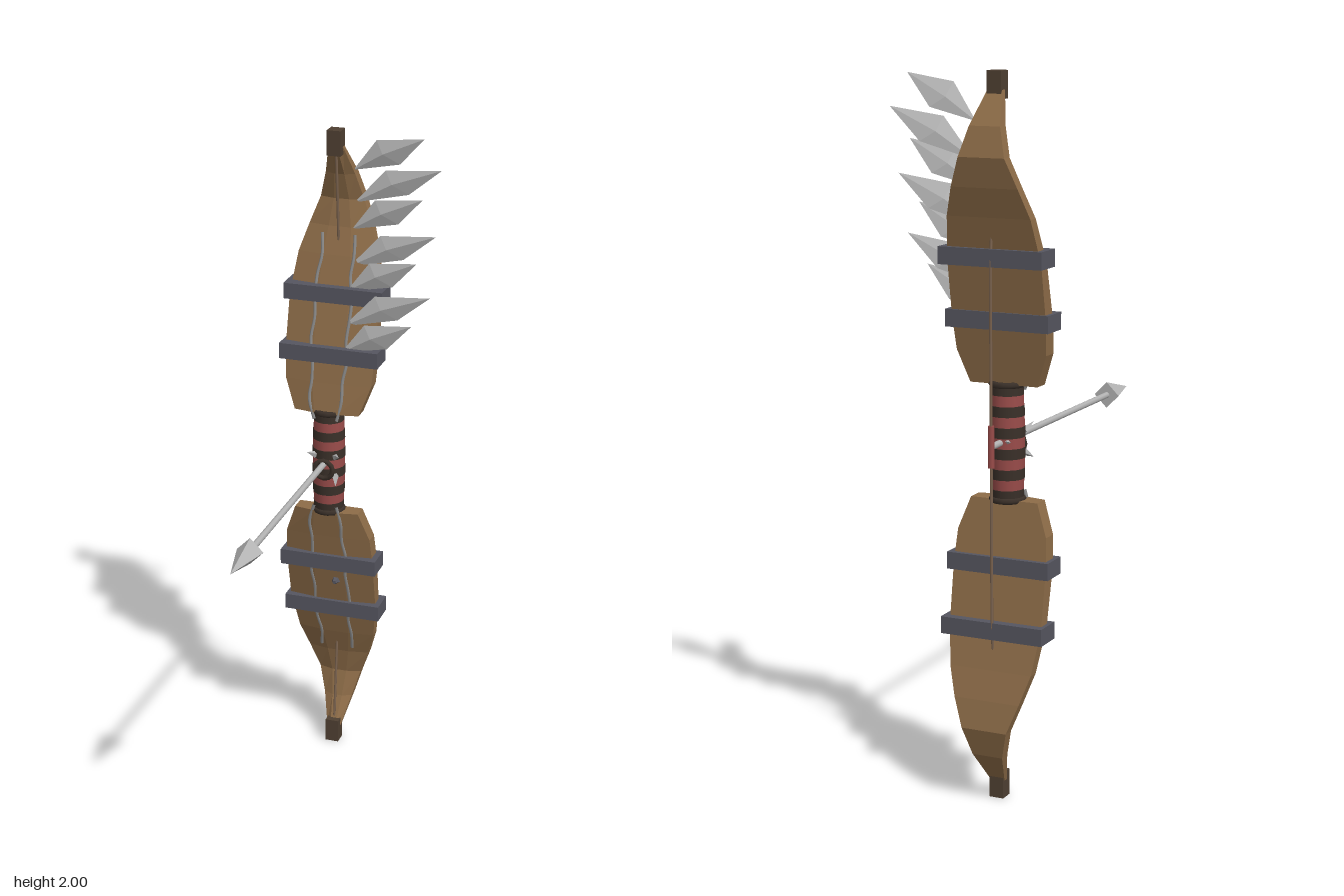
import * as THREE from 'three';
import { ConvexGeometry } from 'three/addons/geometries/ConvexGeometry.js';

const CX = -0.085; // centre line of the bow
const mat = (name, color) => {
  const m = new THREE.MeshStandardMaterial({ color });
  m.name = name;
  return m;
};

// Limb stations: distance from the grip centre, half width, front z, back z
const STATIONS = [
  [0.16, 0.1, -0.305, -0.365], [0.25, 0.133, -0.322, -0.38], [0.34, 0.139, -0.337, -0.395],
  [0.5, 0.138, -0.375, -0.423], [0.62, 0.122, -0.41, -0.455], [0.7, 0.097, -0.437, -0.48],
  [0.78, 0.067, -0.452, -0.498], [0.86, 0.045, -0.43, -0.475], [0.95, 0.022, -0.385, -0.412],
];

// Front surface z at distance d
function frontZ(d) {
  let i = 0;
  while (i < STATIONS.length - 2 && d > STATIONS[i + 1][0]) i++;
  const a = STATIONS[i], b = STATIONS[i + 1];
  return THREE.MathUtils.lerp(a[2], b[2], (d - a[0]) / (b[0] - a[0]));
}

// Faceted limb from six-sided cross-sections; s = 1 upper, -1 lower
function limbGeometry(s) {
  const rows = STATIONS.map(([d, w, f, b]) => [
    [-w, f - 0.012], [-w * 0.35, f], [w * 0.35, f], [w, f - 0.012], [w, b], [-w, b],
  ].map(([x, z]) => [CX + x, 1 + s * d, z]));
  if (s < 0) rows.reverse();
  const pos = [];
  const tri = (...p) => p.forEach((v) => pos.push(...v));
  for (let j = 0; j < rows.length - 1; j++) {
    for (let i = 0; i < 6; i++) {
      const k = (i + 1) % 6;
      tri(rows[j][i], rows[j][k], rows[j + 1][k]);
      tri(rows[j][i], rows[j + 1][k], rows[j + 1][i]);
    }
  }
  const lo = rows[0], hi = rows[rows.length - 1];
  for (let i = 1; i < 5; i++) {
    tri(hi[0], hi[i], hi[i + 1]);
    tri(lo[0], lo[i + 1], lo[i]);
  }
  const g = new THREE.BufferGeometry();
  g.setAttribute('position', new THREE.Float32BufferAttribute(pos, 3));
  g.computeVertexNormals();
  return g;
}

// Cylinder or cone between two points
function rod(a, b, ra, rb, sides) {
  const A = new THREE.Vector3(...a), B = new THREE.Vector3(...b);
  const dir = B.clone().sub(A);
  let g = new THREE.CylinderGeometry(rb, ra, dir.length(), sides);
  if (sides < 6) {
    g = g.toNonIndexed();
    g.computeVertexNormals();
  }
  g.applyQuaternion(new THREE.Quaternion().setFromUnitVectors(new THREE.Vector3(0, 1, 0), dir.normalize()));
  const c = A.add(B).multiplyScalar(0.5);
  return g.translate(c.x, c.y, c.z);
}

export function createModel() {
  const root = new THREE.Group();
  root.name = 'bowAndArrow';
  const wood = mat('wood', 0x8d6c48);
  const darkWood = mat('darkWood', 0x4f4032);
  const iron = mat('iron', 0x565660);
  const red = mat('redWrap', 0x9a4c4a);
  const leather = mat('darkLeather', 0x3a3029);
  const steel = mat('steel', 0xb4b4b4);
  const feather = mat('paleBlade', 0xcacaca);
  const cord = mat('cord', 0x7c6450);
  const wire = mat('wire', 0x8c8c8c);

  const add = (name, geometry, material, x = 0, y = 0, z = 0) => {
    const m = new THREE.Mesh(geometry, material);
    m.name = name;
    m.position.set(x, y, z);
    root.add(m);
    return m;
  };

  for (const s of [1, -1]) {
    const side = s > 0 ? 'upper' : 'lower';
    add(side + 'Limb', limbGeometry(s), wood);
    add(side + 'Tip', new THREE.BoxGeometry(0.042, 0.074, 0.042), darkWood, CX, 1 + s * 0.963, -0.398);
    // Iron clamps
    for (const [d, z] of [[0.338, -0.362], [0.512, -0.403]]) {
      add(side + 'Clamp', new THREE.BoxGeometry(0.304, 0.048, 0.086), iron, CX + 0.003, 1 + s * d, z);
    }
    // Crooked wires running down the limb face
    for (const k of [-1, 1]) {
      const pts = [];
      for (let i = 0; i <= 9; i++) {
        const d = 0.14 + i * 0.06;
        const off = i === 0 ? 0.035 : 0.056 - 0.008 * Math.abs(i - 5) / 4 + 0.005 * Math.sin(i * 2.3 + k);
        pts.push(new THREE.Vector3(CX + k * off, 1 + s * d, frontZ(Math.max(d, 0.16)) - 0.002));
      }
      add(side + 'Wire', new THREE.TubeGeometry(new THREE.CatmullRomCurve3(pts), 36, 0.005, 5), wire);
    }
    // String ends and collar of the grip
    add(side + 'StringEnd', rod([CX, 1 + s * 0.95, -0.4], [CX, 1 + s * 0.5, -0.443], 0.004, 0.004, 6), cord);
    const collar = new THREE.TorusGeometry(0.043, 0.009, 6, 14).rotateX(Math.PI / 2);
    add(side + 'Collar', collar, leather, CX, 1 + s * 0.16, -0.342);
  }

  // Striped grip, slightly swollen in the middle
  const stripes = 11, step = 0.32 / stripes;
  const radius = (y) => 0.049 - 0.2 * (y - 1) * (y - 1);
  for (let i = 0; i < stripes; i++) {
    const y0 = 0.84 + i * step;
    const isRed = i % 2 === 1;
    const bump = isRed ? 0 : 0.001;
    const g = new THREE.CylinderGeometry(radius(y0 + step) + bump, radius(y0) + bump, step, 14);
    add(isRed ? 'gripRedStripe' : 'gripDarkStripe', g, isRed ? red : leather, CX, y0 + step / 2, -0.342);
  }

  // Bowstring and its nocking wrap
  add('bowstring', rod([CX, 0.5, -0.443], [CX, 1.5, -0.443], 0.004, 0.004, 6), cord);
  add('nockingWrap', new THREE.CylinderGeometry(0.009, 0.009, 0.115, 8), red, CX, 1.003, -0.443);

  // Arrow
  const ay = 1.003;
  add('arrowShaft', rod([CX, ay, -0.44], [CX, ay, 0.36], 0.0095, 0.0095, 8), steel);
  add('arrowHead', rod([CX, ay, 0.345], [CX, ay, 0.5], 0.039, 0, 4), steel);

  // Arrow rest with small claws
  add('arrowRest', new THREE.TorusGeometry(0.028, 0.008, 6, 12), leather, CX, 0.985, -0.291);
  for (const k of [-1, 1]) {
    for (const v of [-1, 1]) {
      add('claw', rod([CX + k * 0.032, 0.995 + v * 0.03, -0.305], [CX + k * 0.045, 0.995 + v * 0.05, -0.268], 0.011, 0, 4), steel);
    }
    add('rearSpike', rod([CX + k * 0.02, ay, -0.37], [CX + k * 0.026, ay + 0.012, -0.412], 0.01, 0, 4), steel);
  }
  add('stud', rod([CX + 0.02, 0.59, -0.355], [CX + 0.02, 0.59, -0.335], 0.014, 0.006, 5), iron);

  // Row of pale blades fanning out from the upper limb
  const tips = [[1.99, -0.405], [1.9, -0.415], [1.815, -0.395], [1.718, -0.37], [1.64, -0.345], [1.55, -0.32], [1.465, -0.3]];
  tips.forEach(([y, z], i) => {
    const long = i % 2;
    const tx = long ? 0.226 : 0.177;
    const by = y - (long ? 0.13 : 0.12);
    const mx = long ? 0.087 : 0.062;
    const pts = [
      [-0.048, by, z - 0.045], [tx, y, z],
      [mx - 0.034, y - 0.02, z - 0.022], [mx + 0.034, y - 0.088, z - 0.03],
      [mx - 0.015, y - 0.06, z - 0.018], [mx - 0.015, y - 0.06, z - 0.034],
    ].map((p) => new THREE.Vector3(...p));
    add('blade', new ConvexGeometry(pts), feather);
  });

  return root;
}
